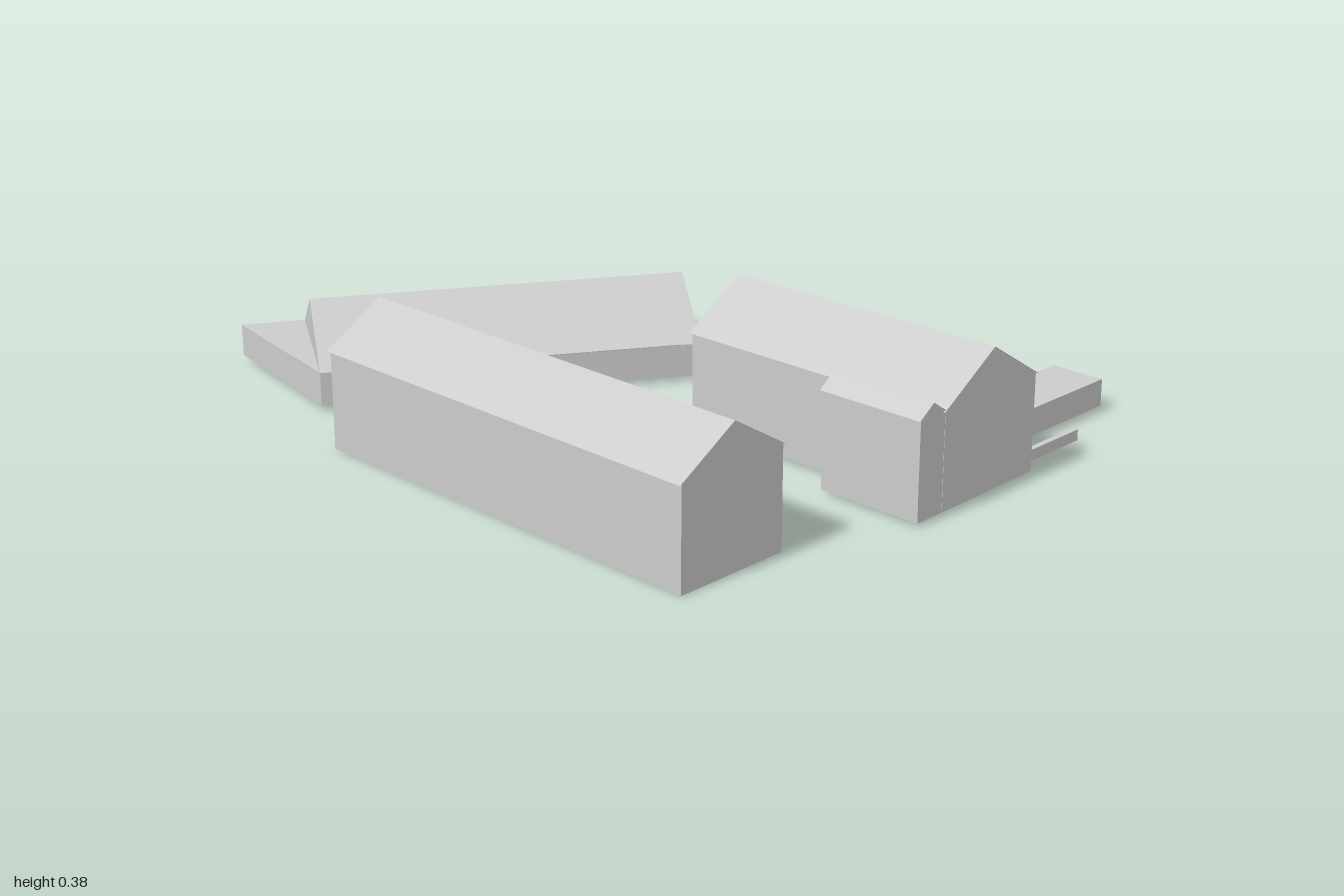
import * as THREE from 'three';

const material = new THREE.MeshStandardMaterial({ color: 0xcccccc, flatShading: true, side: THREE.DoubleSide });

// Mesh from convex flat polygons, each fanned into triangles
function panels(name, polygons) {
  const pos = [];
  for (const p of polygons)
    for (let i = 1; i < p.length - 1; i++) pos.push(...p[0], ...p[i], ...p[i + 1]);
  const geometry = new THREE.BufferGeometry();
  geometry.setAttribute('position', new THREE.Float32BufferAttribute(pos, 3));
  geometry.computeVertexNormals();
  const mesh = new THREE.Mesh(geometry, material);
  mesh.name = name;
  return mesh;
}

// Upright walls along a plan path of [x, z] points (counter-clockwise from above faces out)
function walls(name, path, y0, y1) {
  const faces = [];
  for (let i = 0; i < path.length - 1; i++) {
    const [a, c] = path[i], [b, d] = path[i + 1];
    faces.push([[a, y0, c], [b, y0, d], [b, y1, d], [a, y1, c]]);
  }
  return panels(name, faces);
}

// Two roof slopes with the ridge along x, between z0 and z1
function gableRoof(name, x0, x1, z0, z1, eave, ridge) {
  const m = (z0 + z1) / 2;
  return panels(name, [
    [[x0, eave, z1], [x1, eave, z1], [x1, ridge, m], [x0, ridge, m]],
    [[x1, eave, z0], [x0, eave, z0], [x0, ridge, m], [x1, ridge, m]],
  ]);
}

// Triangular wall tops at both ends of a roof
function gables(name, x0, x1, z0, z1, eave, ridge) {
  const m = (z0 + z1) / 2;
  return panels(name, [
    [[x1, eave, z1], [x1, eave, z0], [x1, ridge, m]],
    [[x0, eave, z0], [x0, eave, z1], [x0, ridge, m]],
  ]);
}

const rectangle = (x, z) => [[-x, z], [x, z], [x, -z], [-x, -z], [-x, z]];

function placed(name, x, z, angle, ...parts) {
  const group = new THREE.Group();
  group.name = name;
  group.position.set(x, 0, z);
  group.rotation.y = angle;
  group.add(...parts);
  return group;
}

// Plain gabled house, open underneath, with a slight roof overhang
function house(length, width, y0, eave, ridge) {
  const x = length / 2, z = width / 2, over = 0.008;
  const top = eave + (ridge - eave) * over / z;
  return [
    walls('houseWalls', rectangle(x - 0.004, z - over), y0, top),
    gables('houseGables', -x + 0.004, x - 0.004, -z + over, z - over, top, ridge - 0.001),
    gableRoof('houseRoof', -x, x, -z, z, eave, ridge),
  ];
}

// Flat-topped block, open underneath
function openBlock(name, x0, x1, z0, z1, y0, y1) {
  const group = new THREE.Group();
  group.name = name;
  group.add(
    walls(name + 'Sides', [[x0, z1], [x1, z1], [x1, z0], [x0, z0], [x0, z1]], y0, y1),
    panels(name + 'Top', [[[x0, y1, z1], [x1, y1, z1], [x1, y1, z0], [x0, y1, z0]]]),
  );
  return group;
}

export function createModel() {
  const model = new THREE.Group();
  model.name = 'farmstead';

  // Long front house
  model.add(placed('longHouse', 0.333, 0.619, 0.168, ...house(1.243, 0.345, 0, 0.265, 0.37)));

  // Rear house with a narrow gabled annex on its front left corner
  model.add(placed('rearHouse', 0.54, -0.187, 0.18,
    ...house(0.825, 0.375, 0.008, 0.265, 0.382),
    walls('annexWalls', [[0.111, 0.18], [0.111, 0.272], [0.408, 0.272], [0.408, 0.18]], 0.008, 0.272),
    gables('annexGables', 0.111, 0.408, 0.18, 0.278, 0.27, 0.3),
    gableRoof('annexRoof', 0.107, 0.412, 0.18, 0.28, 0.268, 0.302)));

  // Low barn, open along one long side, with a wedge-shaped porch at its front end
  const x = 0.521, z = 0.2275, low = 0.015, eave = 0.105, ridge = 0.24;
  const corner = [-0.697, -0.225];
  model.add(placed('lowBarn', -0.5275, 0.215, 1.182,
    walls('barnWalls', [corner, [-x, z + 0.004], [x, z + 0.008], [x, -z]], low, eave),
    walls('barnSill', [[x, -z], [-x, -z], corner], low, low + 0.006),
    gables('barnGables', -x, x, -z, z, eave, ridge),
    gableRoof('barnRoof', -x, x, -z, z, eave, ridge),
    panels('porchRoof', [[[-x, eave, -z], [corner[0], eave, corner[1]], [-x, eave, z]]])));

  // Small outbuilding and a low angled wall behind the rear house
  model.add(placed('outbuilding', 0.656, -0.685, 0.168,
    openBlock('shed', -0.078, 0.078, -0.2, 0.2, 0.015, 0.09)));
  model.add(placed('gardenWall', 0.852, -0.56, 0.168,
    openBlock('longWall', -0.008, 0.008, -0.106, 0.106, 0.015, 0.045),
    openBlock('shortWall', -0.04, -0.008, 0.09, 0.106, 0.015, 0.045)));

  return model;
}
